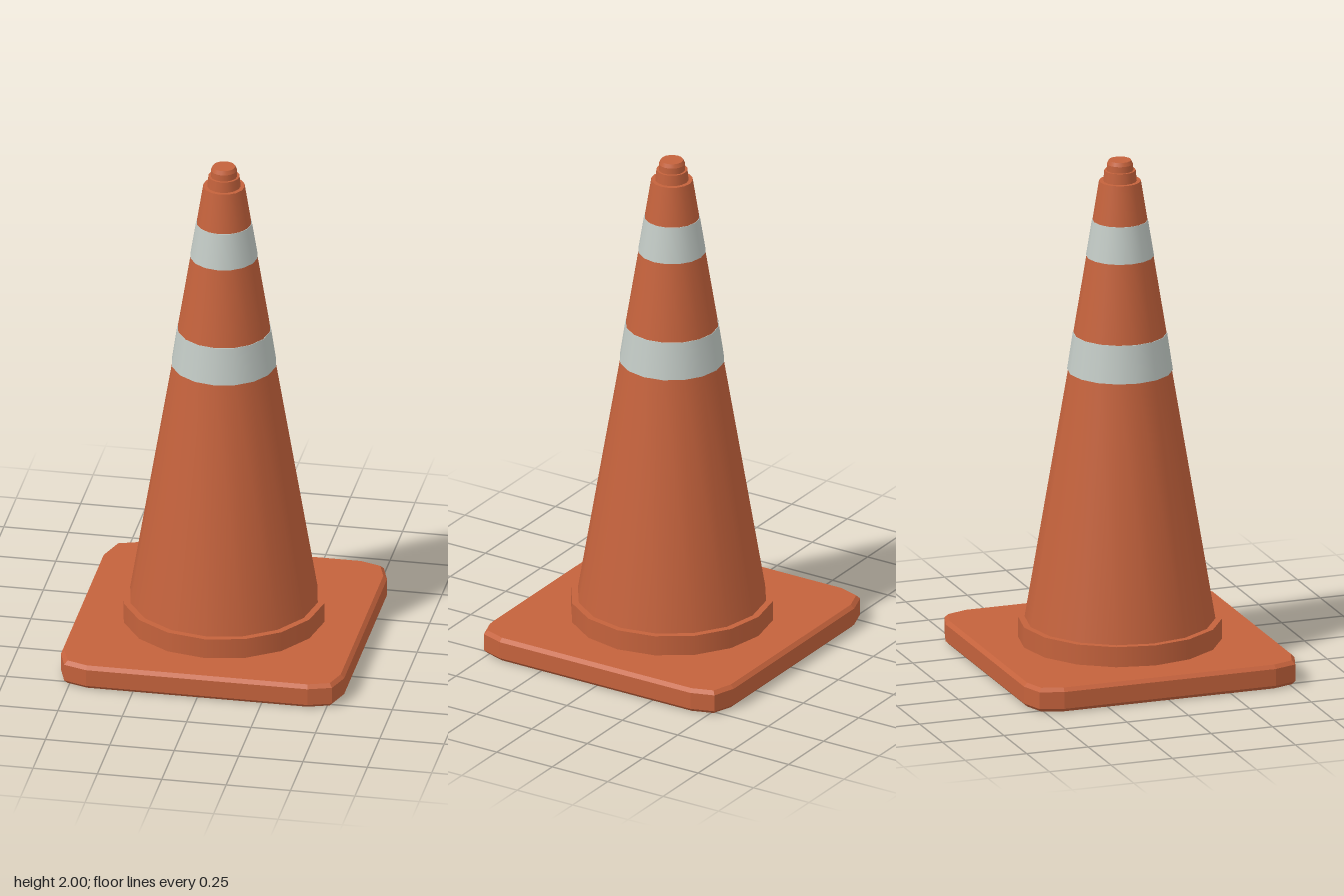
import * as THREE from 'three';

const orange = new THREE.MeshStandardMaterial({ color: 0xc4623c });
const silver = new THREE.MeshStandardMaterial({ color: 0xc2cac5 });
const SIDES = 16;

// Revolved part; each profile segment is its own surface so rims stay sharp
function turned(name, profile, material) {
  const part = new THREE.Group();
  part.name = name;
  for (let i = 0; i < profile.length - 1; i++) {
    const points = [profile[i], profile[i + 1]].map(([r, y]) => new THREE.Vector2(r, y));
    const mesh = new THREE.Mesh(new THREE.LatheGeometry(points, SIDES), material);
    mesh.name = name + 'Surface' + (i + 1);
    part.add(mesh);
  }
  return part;
}

// Square foot with clipped corners and bevelled rims
function createBase() {
  const corner = [[0.55, 0.43], [0.52, 0.52], [0.43, 0.55]];
  const outline = [];
  for (let q = 0; q < 4; q++) {
    for (const [x, y] of corner) {
      outline.push(new THREE.Vector2(x, y).rotateAround(new THREE.Vector2(), q * Math.PI / 2));
    }
  }
  const bevel = 0.014;
  const geometry = new THREE.ExtrudeGeometry(new THREE.Shape(outline), {
    depth: 0.095 - 2 * bevel, bevelThickness: bevel, bevelSize: bevel,
    bevelOffset: -bevel, bevelSegments: 1,
  });
  geometry.translate(0, 0, bevel).rotateX(-Math.PI / 2);
  const base = new THREE.Mesh(geometry, orange);
  base.name = 'base';
  return base;
}

export function createModel() {
  const cone = new THREE.Group();
  cone.name = 'trafficCone';
  cone.add(createBase());

  // Raised ring around the foot of the cone
  cone.add(turned('collar', [[0.39, 0.09], [0.39, 0.175], [0.362, 0.175]], orange));

  // Tapering body, alternating plain sections and slightly proud reflective bands
  cone.add(turned('lowerBody', [[0.365, 0.17], [0.198, 1.165]], orange));
  cone.add(turned('lowerBand', [[0.196, 1.165], [0.202, 1.165], [0.18, 1.312], [0.172, 1.312]], silver));
  cone.add(turned('middleBody', [[0.178, 1.312], [0.128, 1.62]], orange));
  cone.add(turned('upperBand', [[0.124, 1.62], [0.13, 1.62], [0.107, 1.762], [0.1, 1.762]], silver));
  cone.add(turned('upperBody', [[0.105, 1.762], [0.08, 1.918], [0.062, 1.918]], orange));

  // Stepped tip, closed on top
  cone.add(turned('tip', [
    [0.064, 1.918], [0.06, 1.96], [0.051, 1.96], [0.05, 1.985], [0.043, 2], [0, 2],
  ], orange));
  return cone;
}
